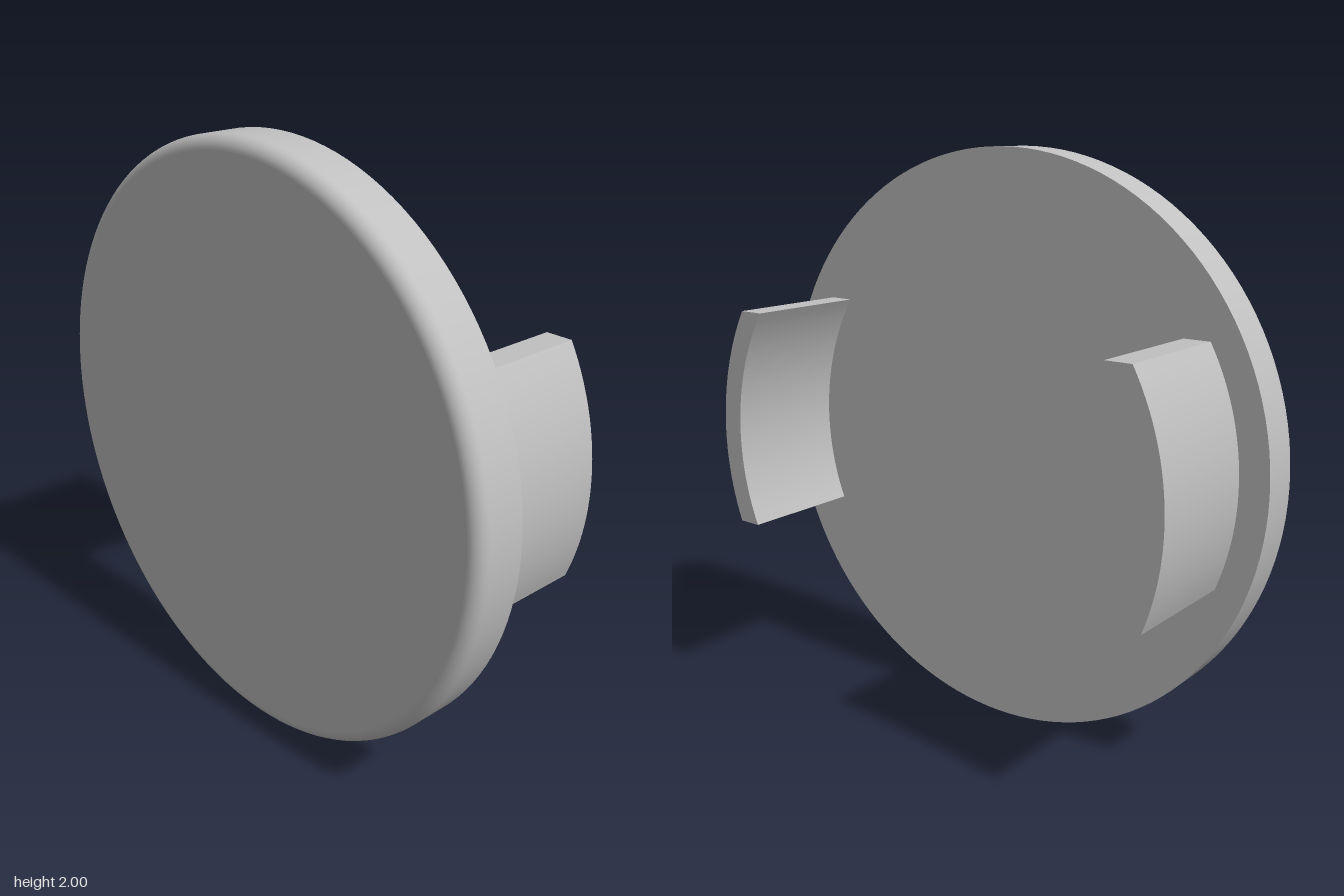
import * as THREE from 'three';
import { toCreasedNormals } from 'three/addons/utils/BufferGeometryUtils.js';

const BACK = -0.31, SEAT = 0.135, FRONT = 0.31; // z of clip ends, disc back, disc front
const FILLET = 0.045;

export function createModel() {
  const model = new THREE.Group();
  const grey = new THREE.MeshStandardMaterial({ color: 0xc0c0c0 });
  grey.name = 'grey plastic';

  const add = (name, geometry, parent = model) => {
    const mesh = new THREE.Mesh(geometry, grey);
    mesh.name = name;
    parent.add(mesh);
    return mesh;
  };

  // Round cap: rim with a rounded front edge, closed by two flat faces
  const cap = new THREE.Group();
  cap.name = 'cap';
  cap.position.y = 1;
  model.add(cap);

  const profile = [new THREE.Vector2(1, SEAT)];
  for (let i = 0; i <= 10; i++) {
    const a = (i / 10) * Math.PI / 2;
    profile.push(new THREE.Vector2(
      1 - FILLET + FILLET * Math.cos(a),
      FRONT - FILLET + FILLET * Math.sin(a)));
  }
  add('capRim', new THREE.LatheGeometry(profile, 128).rotateX(Math.PI / 2), cap);
  add('capFront', new THREE.CircleGeometry(1 - FILLET, 128), cap).position.z = FRONT;
  add('capBack', new THREE.CircleGeometry(1, 128).rotateY(Math.PI), cap).position.z = SEAT;

  // Two curved clips: slices of a ring, cut level at top and bottom
  const outer = 0.9, inner = 0.822, low = -0.327, high = 0.445, steps = 24;
  const clip = (side) => {
    const points = [];
    const arc = (r, from, to) => {
      const a0 = Math.asin(from / r), a1 = Math.asin(to / r);
      for (let i = 0; i <= steps; i++) {
        const a = a0 + (a1 - a0) * i / steps;
        points.push(new THREE.Vector2(side * r * Math.cos(a), r * Math.sin(a)));
      }
    };
    arc(outer, low, high);
    arc(inner, high, low);
    const geometry = new THREE.ExtrudeGeometry(new THREE.Shape(points),
      { depth: SEAT - BACK, bevelEnabled: false });
    return toCreasedNormals(geometry, 0.5);
  };
  for (const [name, side] of [['leftClip', 1], ['rightClip', -1]]) {
    add(name, clip(side)).position.set(0, 1, BACK);
  }

  return model;
}
